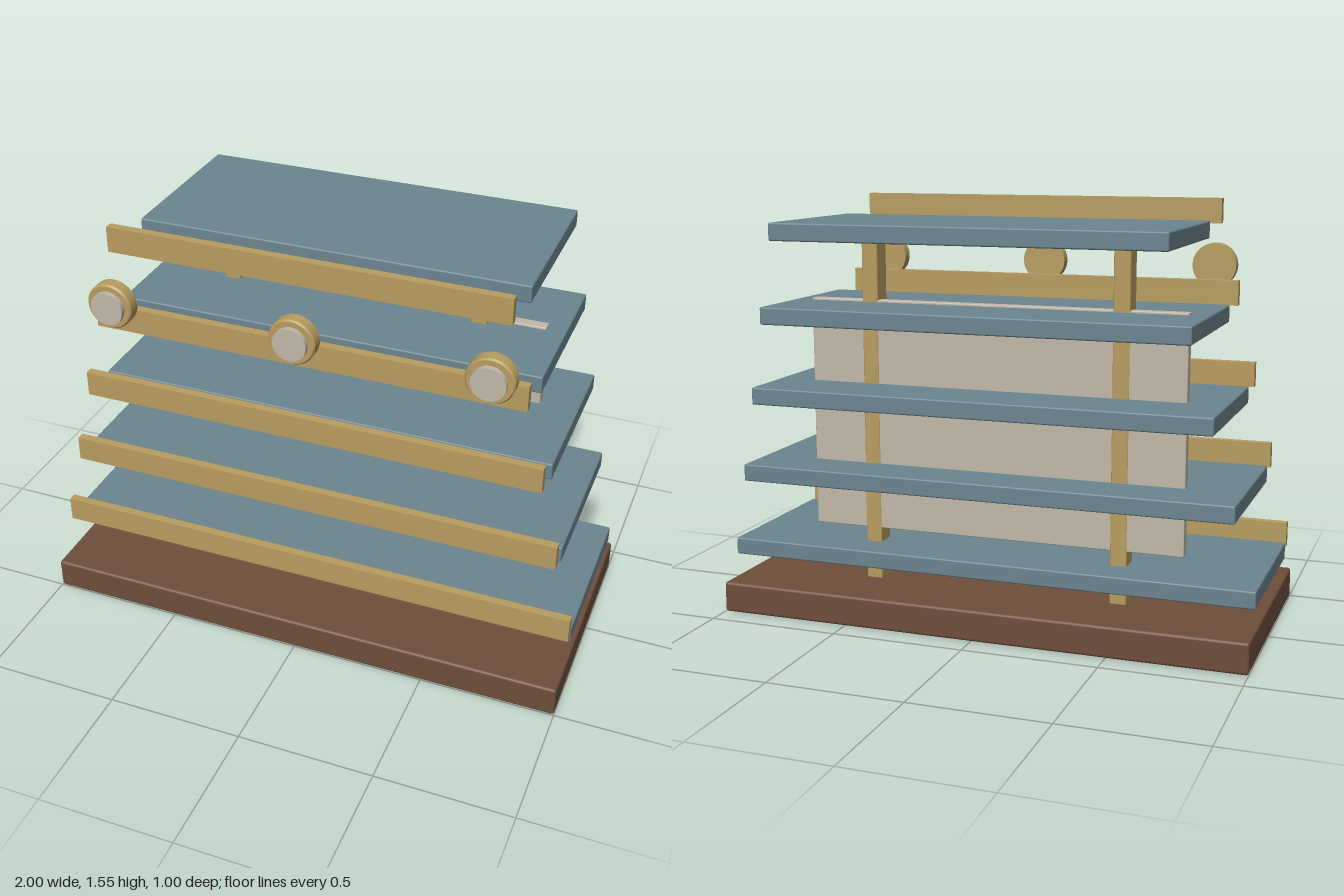
import * as THREE from 'three';
import { RoundedBoxGeometry } from 'three/addons/geometries/RoundedBoxGeometry.js';

const material = (name, color) => {
  const m = new THREE.MeshStandardMaterial({ color });
  m.name = name;
  return m;
};

export function createModel() {
  const model = new THREE.Group();
  model.name = 'tieredShelf';
  const wood = material('brown wood', 0x6f4e3c);
  const slate = material('slate blue', 0x6c858f);
  const brass = material('brass', 0xb89d60);
  const ivory = material('ivory', 0xc2b9a9);

  const add = (name, geometry, mat, x, y, z) => {
    const mesh = new THREE.Mesh(geometry, mat);
    mesh.name = name;
    mesh.position.set(x, y, z);
    model.add(mesh);
    return mesh;
  };
  // Box given by its half width and its y and z limits
  const slab = (name, mat, half, y0, y1, z0, z1, radius = 0, x = 0) => {
    const size = [half * 2, y1 - y0, z1 - z0];
    const geometry = radius
      ? new RoundedBoxGeometry(...size, 2, radius)
      : new THREE.BoxGeometry(...size);
    return add(name, geometry, mat, x, (y0 + y1) / 2, (z0 + z1) / 2);
  };

  // Plinth
  slab('base', wood, 1, 0, 0.115, -0.41, 0.5, 0.01);

  // Five shelves, narrowing and stepping back, each with a front rail
  for (let i = 0; i < 5; i++) {
    const half = 1 - 0.0705 * i;
    const y = 0.305 * i;
    const z = -0.0475 * i;
    slab('shelf', slate, half, 0.2 + y, 0.264 + y, -0.31 + z, 0.328 + z, 0.006);
    slab('frontRail', brass, half, 0.242 + y, 0.335 + y, 0.344, 0.376);
  }

  // Uprights and back panel
  for (const side of [-1, 1]) {
    slab('post', brass, 0.031, 0.117, 1.43, -0.178, -0.095, 0.006, side * 0.48);
  }
  slab('backPanel', ivory, 0.718, 0.318, 1.187, -0.175, -0.132, 0.004);

  // Round ornaments with pale faces
  const rim = new THREE.LatheGeometry(
    [[0, 0], [0.084, 0], [0.084, 0.042], [0.079, 0.049], [0, 0.049]]
      .map(([r, h]) => new THREE.Vector2(r, h)), 40);
  const rimGeometry = rim.toNonIndexed();
  rimGeometry.computeVertexNormals();
  rimGeometry.rotateX(Math.PI / 2);
  const faceGeometry = new THREE.CylinderGeometry(0.06, 0.06, 0.02, 40).rotateX(Math.PI / 2);
  for (const x of [-0.68, 0, 0.68]) {
    add('ornamentRim', rimGeometry, brass, x, 1.299, 0.419);
    add('ornamentFace', faceGeometry, ivory, x, 1.299, 0.477);
  }
  return model;
}
